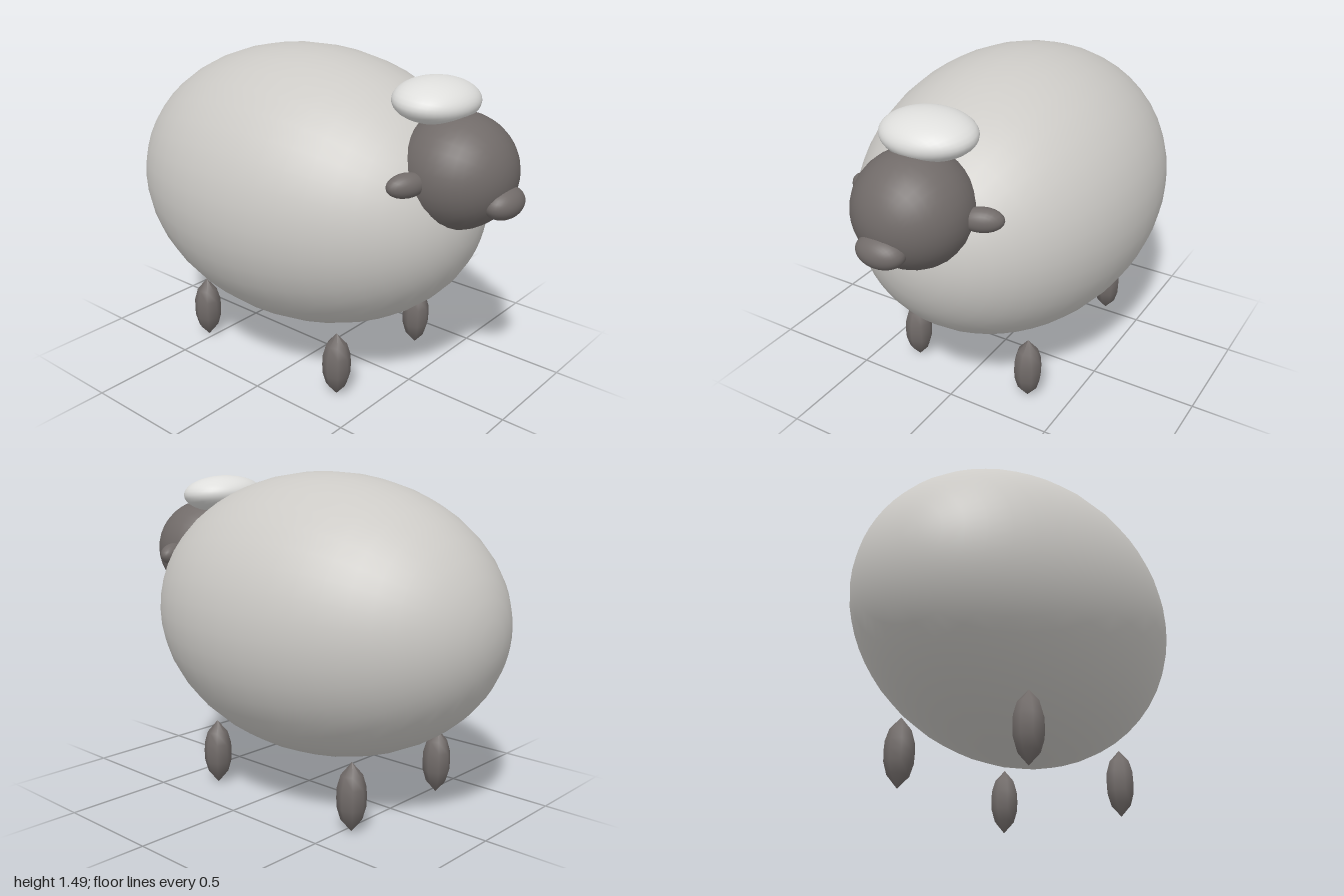
import * as THREE from 'three';

const mat = (name, color) => {
  const m = new THREE.MeshStandardMaterial({ color });
  m.name = name;
  return m;
};

export function createModel() {
  const wool = mat('wool grey', 0xcccac6);
  const paleWool = mat('pale wool', 0xdededc);
  const skin = mat('dark skin', 0x716b69);
  const group = new THREE.Group();

  // Smooth ellipsoid with its poles along z
  const ellipsoid = (name, material, [x, y, z], radii, ws = 32, hs = 20) => {
    const geo = new THREE.SphereGeometry(1, ws, hs);
    geo.rotateX(Math.PI / 2);
    geo.scale(...radii);
    const mesh = new THREE.Mesh(geo, material);
    mesh.name = name;
    mesh.position.set(x, y, z);
    group.add(mesh);
    return mesh;
  };

  // Fleece body, head, muzzle and tuft
  ellipsoid('body', wool, [0, 0.848, -0.11], [0.66, 0.643, 0.89], 40, 24);
  ellipsoid('head', skin, [0, 1.084, 0.7], [0.255, 0.247, 0.255]);
  ellipsoid('muzzle', skin, [0, 0.997, 0.925], [0.11, 0.068, 0.075]);
  const tuft = ellipsoid('woolTuft', paleWool, [0, 1.363, 0.585], [0.211, 0.09, 0.172]);
  tuft.rotation.x = 0.07;

  // Spindle-shaped leg profile
  const legProfile = [[0, 0], [0.047, 0.055], [0.063, 0.11], [0.065, 0.155],
    [0.063, 0.2], [0.047, 0.255], [0, 0.31]].map(([r, y]) => new THREE.Vector2(r, y));
  const legGeo = new THREE.LatheGeometry(legProfile, 8);

  for (const side of [-1, 1]) {
    // Ears swept outward and slightly back
    const ear = ellipsoid('ear', skin, [side * 0.28, 1.081, 0.645], [0.091, 0.052, 0.05], 20, 14);
    ear.rotation.y = side * 0.4;

    for (const [name, z] of [['frontLeg', 0.315], ['backLeg', -0.53]]) {
      const leg = new THREE.Mesh(legGeo, skin);
      leg.name = name;
      leg.position.set(side * 0.307, 0, z);
      group.add(leg);
    }
  }
  return group;
}
